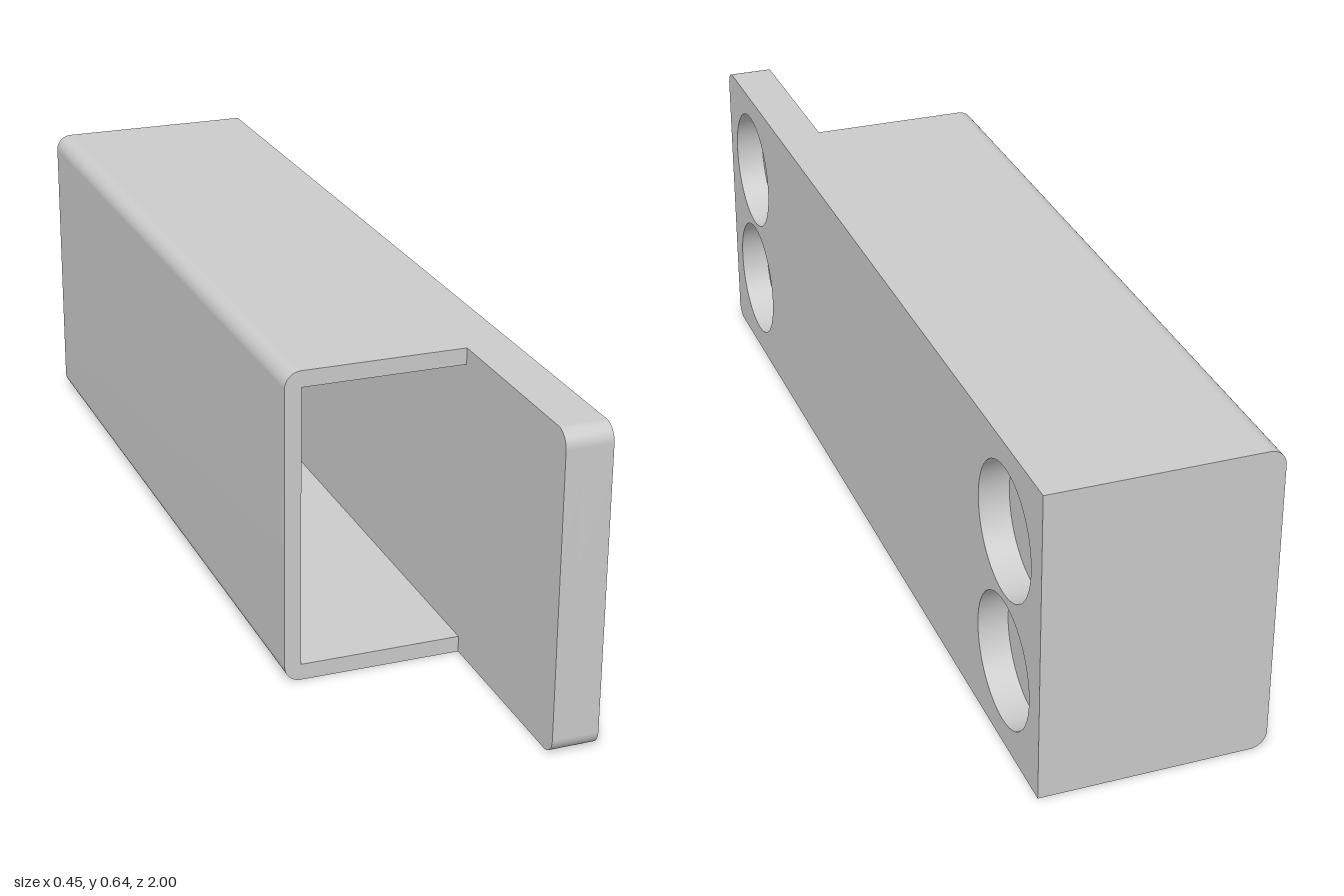
import * as THREE from 'three';
import { toCreasedNormals } from 'three/addons/utils/BufferGeometryUtils.js';

const H = 0.637, HALF_X = 0.226, PLATE_X = 0.134; // height, half width, inner face of plate
const WALL = 0.033, POCKET = 0.06, MOUTH_Z = 0.58;

const material = new THREE.MeshStandardMaterial({ color: 0xcccccc });

// Normals are creased at a larger scale, so close points on small arcs stay distinct
function extrude(shape, depth) {
  const geo = new THREE.ExtrudeGeometry(shape, { depth, bevelEnabled: false, curveSegments: 24 });
  return toCreasedNormals(geo.scale(100, 100, 100), 0.5).scale(0.01, 0.01, 0.01);
}

function addMesh(group, name, geometry) {
  const mesh = new THREE.Mesh(geometry, material);
  mesh.name = name;
  group.add(mesh);
}

// Full-height outline from x0 to x1 with the two corners at x0 rounded; ends at (x1, 0)
function roundedOutline(x0, x1) {
  const s = new THREE.Shape();
  s.moveTo(x1, H);
  s.lineTo(x0 + WALL, H);
  s.absarc(x0 + WALL, H - WALL, WALL, Math.PI / 2, Math.PI, false);
  s.lineTo(x0, WALL);
  s.absarc(x0 + WALL, WALL, WALL, Math.PI, Math.PI * 1.5, false);
  s.lineTo(x1, 0);
  return s;
}

// C-shaped section, open towards the plate
function channelSection() {
  const s = roundedOutline(-HALF_X, PLATE_X);
  s.lineTo(PLATE_X, WALL);
  s.lineTo(-HALF_X + WALL, WALL);
  s.lineTo(-HALF_X + WALL, H - WALL);
  s.lineTo(PLATE_X, H - WALL);
  return s;
}

export function createModel() {
  const model = new THREE.Group();
  model.name = 'wallHolder';

  // Hollow sleeve, open at the front and closed at the back
  const sleeve = extrude(channelSection(), MOUTH_Z + 1 - WALL);
  sleeve.translate(0, 0, -1 + WALL);
  addMesh(model, 'sleeve', sleeve);

  const backWall = extrude(roundedOutline(-HALF_X, PLATE_X), WALL);
  backWall.translate(0, 0, -1);
  addMesh(model, 'backWall', backWall);

  // Mounting plate: solid inner layer
  const inner = extrude(roundedOutline(-1, 1), HALF_X - POCKET - PLATE_X);
  inner.rotateY(Math.PI / 2).translate(PLATE_X, 0, 0);
  addMesh(model, 'plateInner', inner);

  // Outer layer pierced by four round magnet pockets
  const outline = roundedOutline(-1, 1);
  for (const x of [-0.82, 0.82]) {
    for (const y of [0.18, 0.458]) {
      outline.holes.push(new THREE.Path().absarc(x, y, 0.131, 0, Math.PI * 2, true));
    }
  }
  const outer = extrude(outline, POCKET);
  outer.rotateY(Math.PI / 2).translate(HALF_X - POCKET, 0, 0);
  addMesh(model, 'plateOuter', outer);

  return model;
}
